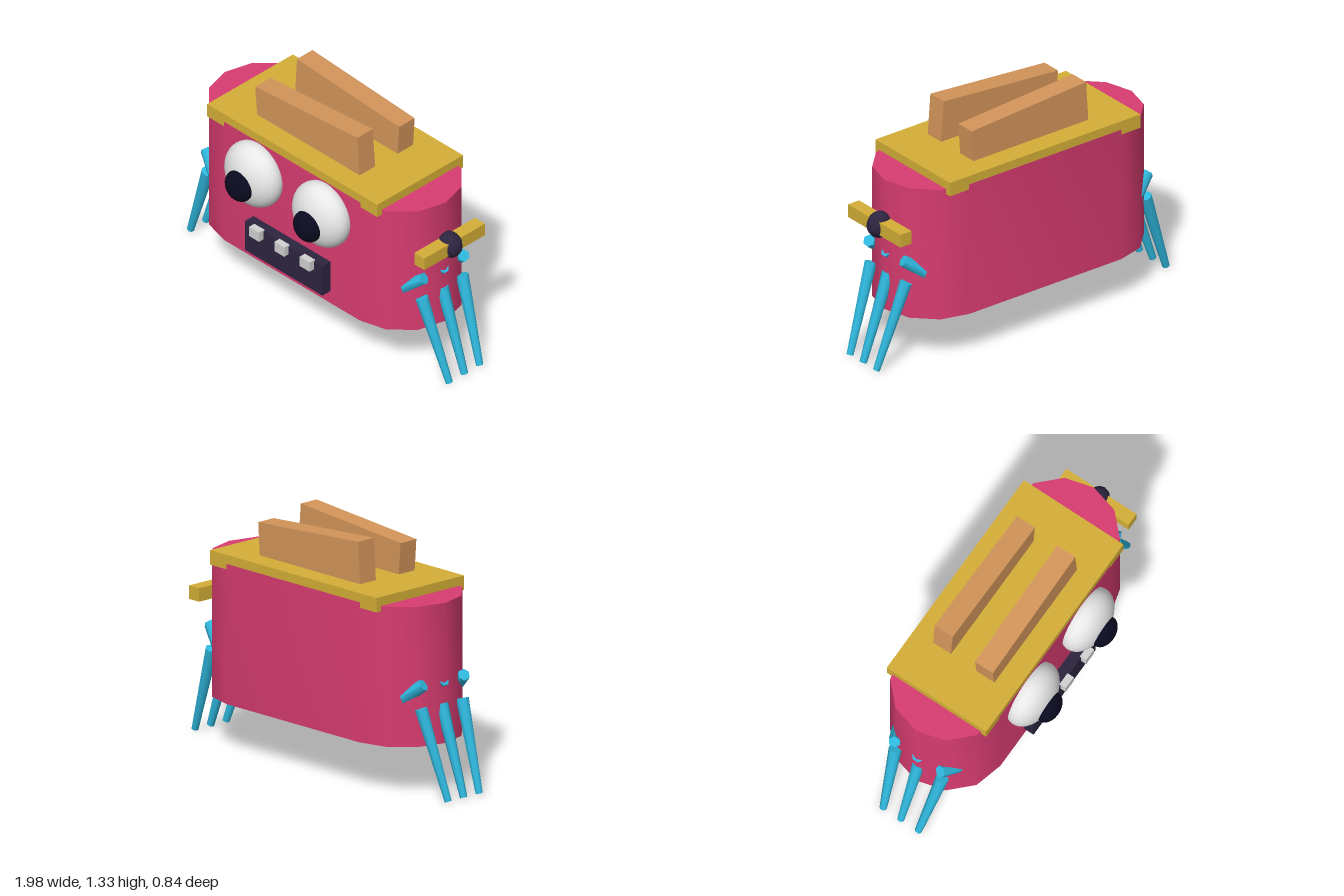
import * as THREE from 'three';
import { toCreasedNormals } from 'three/addons/utils/BufferGeometryUtils.js';

const material = (name, color) => {
  const m = new THREE.MeshStandardMaterial({ color });
  m.name = name;
  return m;
};

export function createModel() {
  const pink = material('pink shell', 0xd83c70);
  const gold = material('gold trim', 0xd4af37);
  const crust = material('toast brown', 0xd4955a);
  const cyan = material('cyan limbs', 0x2fb8de);
  const dark = material('dark plum', 0x2d2440);
  const black = material('pupil navy', 0x0a0a20);
  const white = material('eye white', 0xf0f0f0);
  const ivory = material('tooth grey', 0xd2d2d2);

  const model = new THREE.Group();
  model.name = 'toasterCreature';
  const midZ = -0.1;

  const add = (name, geometry, mat, x, y, z) => {
    const mesh = new THREE.Mesh(geometry, mat);
    mesh.name = name;
    mesh.position.set(x, y, z);
    model.add(mesh);
    return mesh;
  };
  const box = (name, mat, w, h, d, x, y, z) =>
    add(name, new THREE.BoxGeometry(w, h, d), mat, x, y, z);

  // Tapered limb between two points
  const limb = (name, from, to, r0, r1, sides) => {
    const dir = to.clone().sub(from);
    const mid = from.clone().add(to).multiplyScalar(0.5);
    const mesh = add(name, new THREE.CylinderGeometry(r1, r0, dir.length(), sides),
      cyan, mid.x, mid.y, mid.z);
    mesh.quaternion.setFromUnitVectors(new THREE.Vector3(0, 1, 0), dir.normalize());
  };

  // Shell: stadium outline with coarse round ends
  const outline = [];
  for (const side of [1, -1]) {
    for (let i = 0; i <= 6; i++) {
      const a = -Math.PI / 2 + (i * Math.PI) / 6;
      outline.push(new THREE.Vector2(side * (0.51 + 0.32 * Math.cos(a)), side * 0.32 * Math.sin(a)));
    }
  }
  const shell = new THREE.ExtrudeGeometry(new THREE.Shape(outline), { depth: 0.77, bevelEnabled: false });
  shell.rotateX(-Math.PI / 2);
  add('body', toCreasedNormals(shell, 0.7), pink, 0, 0.28, midZ);

  // Top plate
  box('topPlate', gold, 1.28, 0.08, 0.638, 0, 1.06, midZ);

  // Two tilted slices of toast
  box('frontToast', crust, 0.77, 0.44, 0.115, 0, 1.085, 0.04).rotation.z = 0.078;
  box('backToast', crust, 0.77, 0.44, 0.115, 0, 1.085, -0.24).rotation.z = -0.064;

  // Bulging eyes with pupils
  for (const side of [1, -1]) {
    add('eye', new THREE.SphereGeometry(0.19, 32, 24), white, side * 0.255, 0.86, 0.25)
      .scale.z = 0.63;
    add('pupil', new THREE.SphereGeometry(0.09, 24, 16), black, side * 0.257, 0.835, 0.36)
      .scale.z = 0.67;
  }

  // Mouth and teeth
  box('mouth', dark, 0.58, 0.19, 0.1, 0, 0.455, 0.232);
  for (const x of [-0.19, 0, 0.19]) box('tooth', ivory, 0.075, 0.06, 0.04, x, 0.53, 0.295);

  // Side lever with round knob
  box('lever', gold, 0.075, 0.075, 0.45, 0.862, 0.797, midZ);
  add('leverKnob', new THREE.SphereGeometry(0.074, 12, 10), dark, 0.863, 0.796, midZ)
    .scale.z = 0.86;

  // Three jointed legs on each side
  for (const side of [1, -1]) {
    for (const i of [-1, 0, 1]) {
      const point = (x, y, dz) => new THREE.Vector3(side * x, y, midZ + i * dz);
      limb('upperLeg', point(0.7, 0.535, 0.195), point(0.82, 0.625, 0.147), 0.04, 0.034, 6);
      limb('lowerLeg', point(0.804, 0.493, 0.15), point(0.973, 0.01, 0.113), 0.036, 0.02, 8);
    }
  }

  return model;
}
